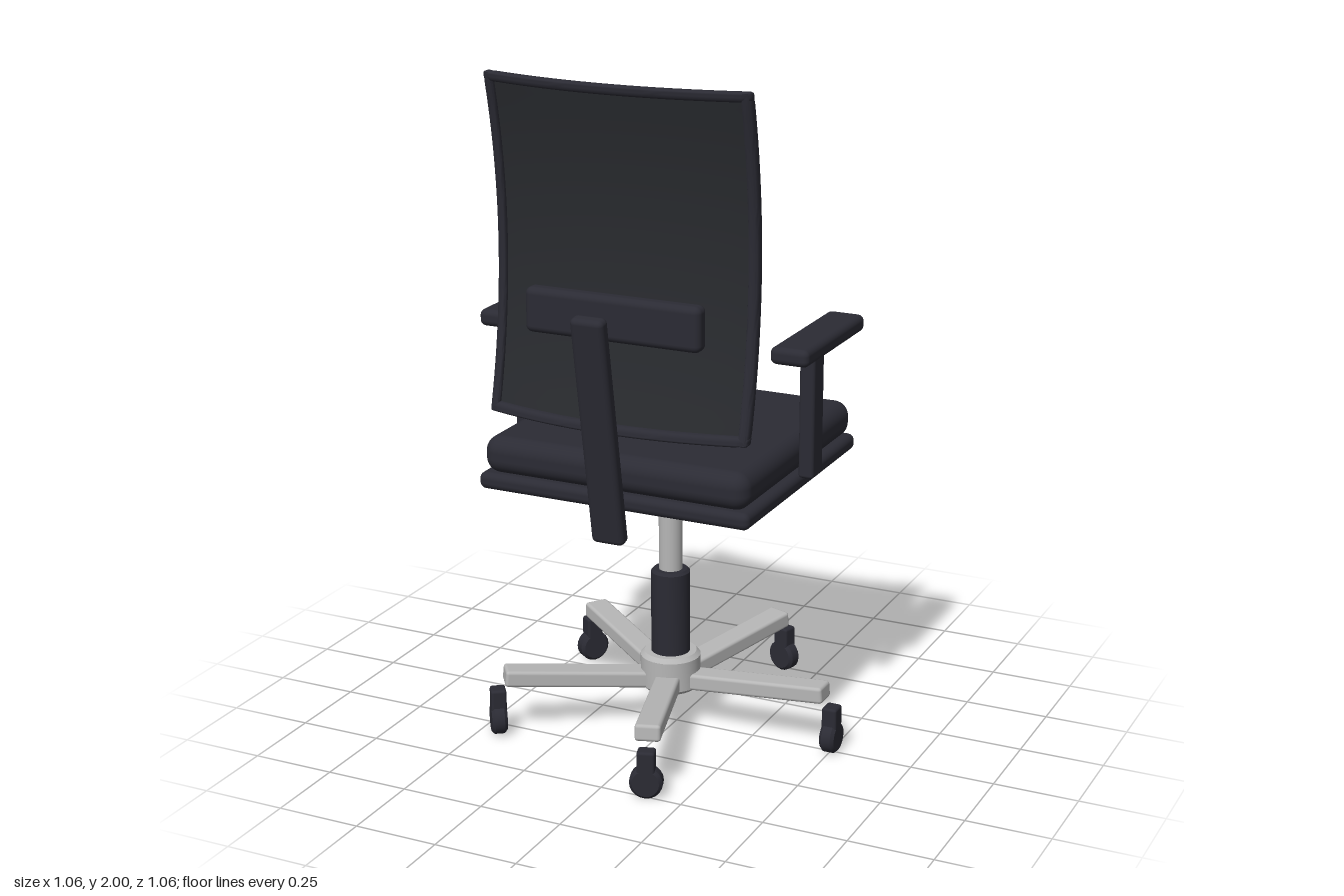
import * as THREE from 'three';
import { mergeVertices, toCreasedNormals } from 'three/addons/utils/BufferGeometryUtils.js';
import { RoundedBoxGeometry } from 'three/addons/geometries/RoundedBoxGeometry.js';

const CX = -0.02; // the chair's own centre line

export function createModel() {
  const chair = new THREE.Group();
  chair.name = 'officeChair';
  const mat = (name, color) => Object.assign(new THREE.MeshStandardMaterial({ color }), { name });
  const black = mat('blackPlastic', 0x2b2b34);
  const mesh = mat('backFabric', 0x292b2f);
  const metal = mat('brushedMetal', 0xb6b6b6);

  const add = (name, geometry, material, x, y, z, parent = chair) => {
    const m = new THREE.Mesh(geometry, material);
    m.name = name;
    m.position.set(x, y, z);
    parent.add(m);
    return m;
  };
  const rbox = (w, h, d, r, seg = 3) => new RoundedBoxGeometry(w, h, d, seg, r);
  // Solid of revolution with chamfered ends, centred on its middle
  const turned = (r, h, c, sides = 32) => {
    const p = [[0, -h / 2], [r - c, -h / 2], [r, -h / 2 + c], [r, h / 2 - c], [r - c, h / 2], [0, h / 2]];
    return toCreasedNormals(new THREE.LatheGeometry(p.map(([a, b]) => new THREE.Vector2(a, b)), sides), 0.6);
  };

  // Five-star base with casters
  for (let i = 0; i < 5; i++) {
    const leg = new THREE.Group();
    leg.name = 'baseLeg' + (i + 1);
    leg.position.x = CX;
    leg.rotation.y = (i * Math.PI * 2) / 5;
    chair.add(leg);
    add('legArm', rbox(0.46, 0.05, 0.075, 0.01, 2), metal, 0.272, 0.165, 0, leg).rotation.z = 0.085;
    add('casterFork', rbox(0.046, 0.09, 0.052, 0.008, 2), black, 0.521, 0.1, 0, leg);
    add('casterWheel', turned(0.048, 0.046, 0.009, 20), black, 0.521, 0.049, 0, leg).rotation.z = Math.PI / 2;
  }
  add('baseHub', turned(0.09, 0.115, 0.012), metal, CX, 0.172, 0);

  // Gas lift
  add('liftSleeve', turned(0.058, 0.28, 0.008), black, CX, 0.35, 0);
  add('liftColumn', new THREE.CylinderGeometry(0.035, 0.035, 0.27, 32), metal, CX, 0.61, 0);

  // Seat
  add('tiltMechanism', rbox(0.4, 0.085, 0.365, 0.012), black, CX, 0.767, 0);
  add('seatPan', rbox(0.84, 0.05, 0.8, 0.02), black, CX, 0.825, -0.005);
  add('seatCushion', rbox(0.82, 0.11, 0.79, 0.045, 5), black, CX, 0.901, -0.005);

  // Armrests
  for (const [side, s] of [['left', 1], ['right', -1]]) {
    add(side + 'ArmPost', rbox(0.046, 0.375, 0.076, 0.01), black, CX + s * 0.453, 1.045, 0.032);
    add(side + 'ArmPad', rbox(0.114, 0.05, 0.432, 0.018), black, CX + s * 0.455, 1.25, -0.005);
  }

  // Backrest: boxes with softened edges, bent in both directions
  const W = 0.796, H = 0.97, CY = 1.511;
  const bent = (w, h, d, r, x, y, z, nx, ny) => {
    const g = new THREE.BoxGeometry(w, h, d, nx, ny, 4);
    g.deleteAttribute('uv');
    g.deleteAttribute('normal');
    const p = g.attributes.position, v = new THREE.Vector3(), inner = new THREE.Vector3();
    const lim = new THREE.Vector3(w / 2 - r, h / 2 - r, d / 2 - r), neg = lim.clone().negate();
    for (let i = 0; i < p.count; i++) {
      v.fromBufferAttribute(p, i);
      inner.copy(v).clamp(neg, lim);
      v.sub(inner);
      if (v.length() > r) v.setLength(r);
      v.add(inner);
      const px = v.x + x, py = v.y + y;
      const bow = 0.06 * (1 - (2 * px / W) ** 2) + 0.065 * (2 * py / H) ** 2;
      p.setXYZ(i, px, py, v.z + z + bow);
    }
    const out = mergeVertices(g, 1e-5);
    out.computeVertexNormals();
    return toCreasedNormals(out, 0.9);
  };
  const back = new THREE.Group();
  back.name = 'backrest';
  back.position.set(CX, CY, 0.255);
  chair.add(back);
  add('backPanel', bent(W - 0.02, H - 0.02, 0.018, 0.004, 0, 0, 0.009, 24, 24), mesh, 0, 0, 0, back);
  const rail = 0.028;
  for (const s of [-1, 1]) {
    add(s > 0 ? 'topRail' : 'bottomRail',
      bent(W, rail, 0.036, 0.009, 0, s * (H - rail) / 2, 0.018, 28, 4), black, 0, 0, 0, back);
    add(s > 0 ? 'leftRail' : 'rightRail',
      bent(rail, H, 0.036, 0.009, s * (W - rail) / 2, 0, 0.018, 4, 28), black, 0, 0, 0, back);
  }

  // Lumbar bar and sloping spine
  add('lumbarBar', rbox(0.535, 0.13, 0.055, 0.02), black, CX, 1.345, 0.355);
  add('backSpine', rbox(0.1, 0.69, 0.045, 0.016), black, CX, 1.045, 0.451).rotation.x = 0.175;

  return chair;
}
